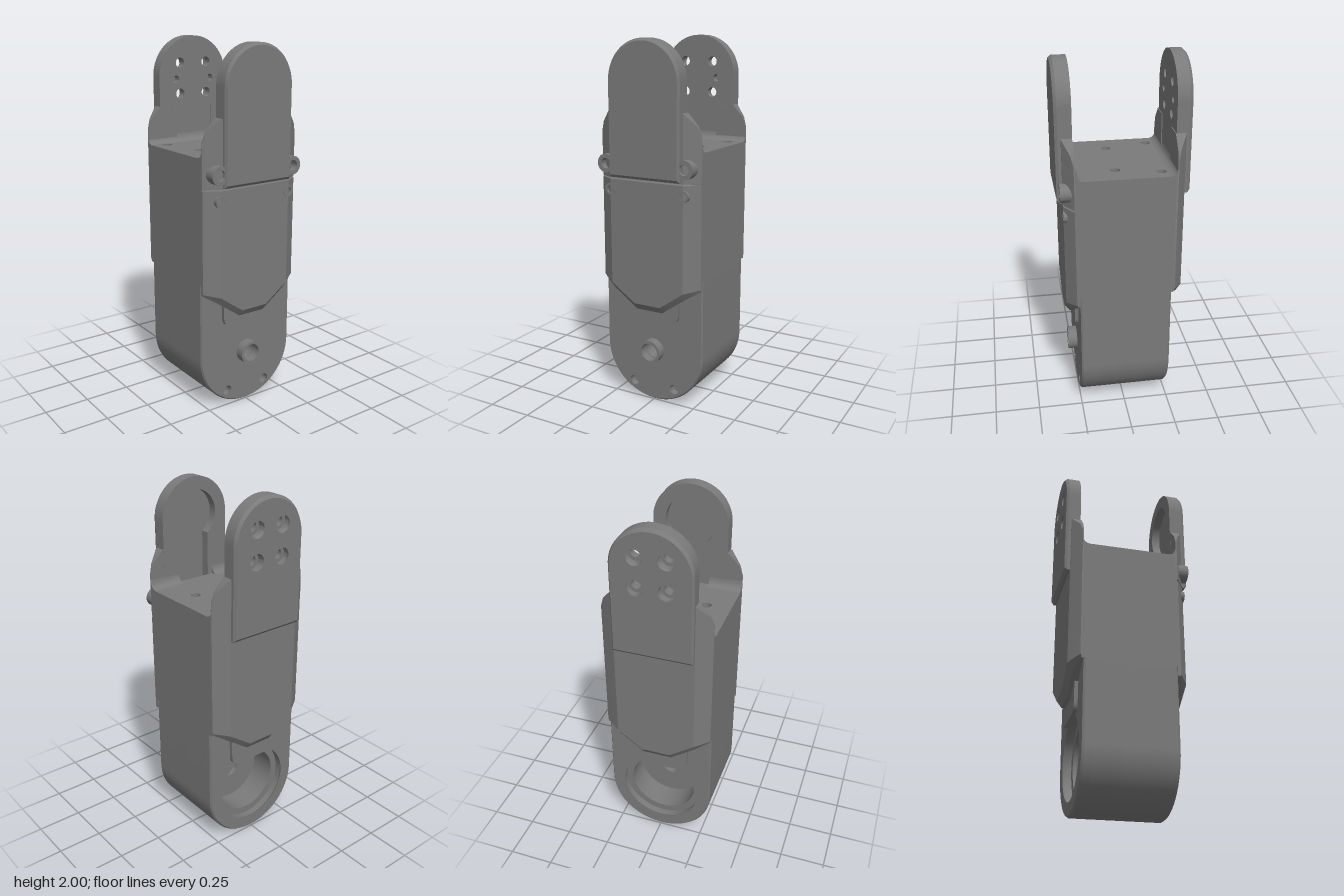
import * as THREE from 'three';
import { toCreasedNormals } from 'three/addons/utils/BufferGeometryUtils.js';

const grey = new THREE.MeshStandardMaterial({ color: 0x7a7a7a });
grey.name = 'dark grey plastic';

export function createModel() {
  const model = new THREE.Group();
  model.name = 'jointModule';

  function add(name, geometry) {
    const mesh = new THREE.Mesh(toCreasedNormals(geometry, 0.5), grey);
    mesh.name = name;
    model.add(mesh);
    return mesh;
  }

  // Cuts round holes, given as [z, y, radius], into a shape
  function drill(shape, holes) {
    for (const [z, y, r] of holes) {
      shape.holes.push(new THREE.Path().absarc(-z, y, r, 0, Math.PI * 2, true));
    }
    return shape;
  }

  // Side outline extruded from x0 to x1; taper shrinks the outer end about height cy
  function prism(name, shape, x0, x1, taper = 1, cy = 0) {
    const g = new THREE.ExtrudeGeometry(shape, { depth: Math.abs(x1 - x0), bevelEnabled: false, curveSegments: 28 });
    g.rotateY(Math.PI / 2).translate(Math.min(x0, x1), 0, 0);
    const p = g.attributes.position;
    for (let i = 0; i < p.count; i++) {
      if (Math.abs(p.getX(i) - x1) < 1e-4) {
        p.setZ(i, p.getZ(i) * taper);
        p.setY(i, cy + (p.getY(i) - cy) * taper);
      }
    }
    return add(name, g);
  }

  // Surface through a row of equal cross-sections, closed at both ends
  function loft(name, rings, flip) {
    const n = rings[0].length, index = [];
    const tri = (a, b, c) => index.push(a, flip ? c : b, flip ? b : c);
    for (let i = 0; i < rings.length - 1; i++) {
      for (let j = 0; j < n; j++) {
        const a = i * n + j, b = i * n + (j + 1) % n;
        tri(a, b, b + n);
        tri(a, b + n, a + n);
      }
    }
    const last = (rings.length - 1) * n;
    for (let j = 1; j < n - 1; j++) {
      tri(0, j + 1, j);
      tri(last, last + j, last + j + 1);
    }
    const g = new THREE.BufferGeometry();
    g.setAttribute('position', new THREE.Float32BufferAttribute(rings.flat(2), 3));
    g.setIndex(index);
    add(name, g.toNonIndexed());
  }

  // Lower housing: round-bottomed layers, with a stepped bearing recess on the right side
  const housing = (holes) => {
    const s = new THREE.Shape();
    s.moveTo(-0.3, 0.76);
    s.lineTo(-0.3, 0.3);
    s.absarc(0, 0.3, 0.3, Math.PI, Math.PI * 2, false);
    s.lineTo(0.3, 0.76);
    return drill(s, holes);
  };
  const screws = [[0.13, 0.08, 0.028], [-0.13, 0.08, 0.028]];
  prism('housingRim', housing([[0, 0.3, 0.23]]), -0.238, -0.25, 0.975, 0.38);
  prism('housingRecess', housing([[0, 0.3, 0.23]]), -0.2, -0.238);
  prism('housingStep', housing([[0, 0.3, 0.19]]), -0.05, -0.2);
  prism('housingCore', housing([[0, 0.3, 0.05]]), -0.05, 0.2);
  prism('housingScrewLayer', housing([[0, 0.3, 0.05], ...screws]), 0.2, 0.24);
  prism('housingEdge', housing([[0, 0.3, 0.05], ...screws]), 0.24, 0.25, 0.98, 0.38);

  // Hollow shaft boss
  const ring = (z, y, r, hole) => drill(new THREE.Shape().absarc(-z, y, r, 0, Math.PI * 2, false), [[z, y, hole]]);
  prism('shaftBoss', ring(0, 0.3, 0.065, 0.05), 0.24, 0.3);

  // Upper body and drilled deck
  const body = new THREE.BoxGeometry(0.524, 0.64, 0.6).toNonIndexed();
  add('upperBody', body.translate(0, 1.06, 0));
  const deckShape = new THREE.Shape();
  deckShape.moveTo(-0.262, -0.3).lineTo(0.262, -0.3).lineTo(0.262, 0.3).lineTo(-0.262, 0.3);
  drill(deckShape, [[0.195, 0.22, 0.026], [0.195, -0.22, 0.026], [-0.04, 0.167, 0.026], [-0.04, -0.167, 0.026]]);
  add('deck', new THREE.ExtrudeGeometry(deckShape, { depth: 0.04, bevelEnabled: false, curveSegments: 16 })
    .rotateX(-Math.PI / 2).translate(0, 1.38, 0));

  // Side covers with slanted corners, a pointed lower edge and sloping shoulders
  // Stations: z, outer x, lower y, shoulder y
  const half = [
    [0.3, 0.268, 0.69, 1.5], [0.28, 0.282, 0.677, 1.555], [0.22, 0.32, 0.64, 1.62],
    [0.115, 0.32, 0.565, 1.62], [0.115, 0.32, 0.565, 1.36], [0.08, 0.32, 0.54, 1.36],
  ];
  const stations = [...half.map(([z, ...r]) => [-z, ...r]), ...half.slice().reverse()];
  function cover(name, side, lift, from, to) {
    const rings = stations.map(([z, xo, low, high]) => {
      const yb = from ?? low + lift, yt = to ?? high;
      const chamfer = from ? 0 : 0.4;
      const inner = 0.25, c = (xo - inner) * chamfer;
      const yi = Math.min(1.41, yt);
      return [[inner, yb], [xo - c, yb], [xo, yb + c * 1.4], [xo, yt], [0.263, yt], [0.263, yi], [inner, yi]]
        .map(([x, y]) => [x * side, y, z]);
    });
    loft(name, rings, side < 0);
  }
  cover('leftLowerCover', 1, 0, null, 1.256);
  cover('leftUpperCover', 1, 0, 1.264, null);
  cover('rightCover', -1, 0.06, null, null);

  // Rounded lips under the covers
  for (const [name, side, low] of [['leftLip', 1, 0.48], ['rightLip', -1, 0.5]]) {
    const lip = new THREE.Shape();
    lip.moveTo(-0.17, 0.68).lineTo(-0.165, low + 0.05);
    lip.quadraticCurveTo(-0.16, low, -0.11, low);
    lip.lineTo(0.11, low);
    lip.quadraticCurveTo(0.16, low, 0.165, low + 0.05);
    lip.lineTo(0.17, 0.68);
    prism(name, lip, 0.24 * side, 0.27 * side, 1);
  }

  // Fork arms
  const arm = (r, top, bottom) => {
    const s = new THREE.Shape();
    s.moveTo(-r, bottom).lineTo(r, bottom).lineTo(r, top - r);
    s.absarc(0, top - r, r, 0, Math.PI, false);
    return s;
  };
  const square = (r) => [[1, 1], [1, -1], [-1, 1], [-1, -1]].map(([a, b]) => [a * 0.085, 1.77 + b * 0.085, r]);
  const pins = [[0.112, 1.765, 0.02], [-0.112, 1.765, 0.02]];
  prism('rightArmInner', drill(arm(0.218, 2, 1.4), [...square(0.027), ...pins]), -0.268, -0.31);
  prism('rightArmOuter', drill(arm(0.218, 2, 1.29), square(0.045)), -0.31, -0.335);
  prism('rightArmEdge', drill(arm(0.218, 2, 1.29), square(0.045)), -0.335, -0.35, 0.955, 1.66);

  // Left arm has a keyhole channel on its inner face
  const keyed = new THREE.Shape();
  const r = 0.21, cy = 1.985 - r, slot = 0.085, rr = 0.14;
  const a = Math.asin(slot / rr);
  keyed.moveTo(slot, 1.4).lineTo(r, 1.4).lineTo(r, cy);
  keyed.absarc(0, cy, r, 0, Math.PI, false);
  keyed.lineTo(-r, 1.4).lineTo(-slot, 1.4);
  keyed.lineTo(-slot, cy - rr * Math.cos(a));
  keyed.absarc(0, cy, rr, -Math.PI / 2 - a, -Math.PI / 2 + a, true);
  keyed.lineTo(slot, 1.4);
  prism('leftArmInner', keyed, 0.262, 0.31);
  prism('leftArmOuter', arm(r, 1.985, 1.27), 0.31, 0.335);
  prism('leftArmEdge', arm(r, 1.985, 1.27), 0.335, 0.35, 0.96, 1.65);

  // Coves between deck and arms: x of the arm face, side, z from, z to
  for (const [x, dir, z0, z1] of [[-0.269, 1, -0.3, 0.3], [0.263, -1, -0.3, -0.115], [0.263, -1, 0.115, 0.3]]) {
    const s = new THREE.Shape();
    s.moveTo(x, 1.415).lineTo(x + dir * 0.04, 1.42);
    s.quadraticCurveTo(x + dir * 0.004, 1.424, x, 1.47);
    add('armCove', new THREE.ExtrudeGeometry(s, { depth: z1 - z0, bevelEnabled: false, curveSegments: 6 }).translate(0, 0, z0));
  }

  // Screw seats on the left cover
  for (const z of [-1, 1]) {
    prism('upperScrewSeat', ring(z * 0.235, 1.34, 0.05, 0.028), 0.26, 0.338);
    prism('lowerScrewSeat', ring(z * 0.22, 1.2, 0.032, 0.02), 0.26, 0.322);
  }
  return model;
}
